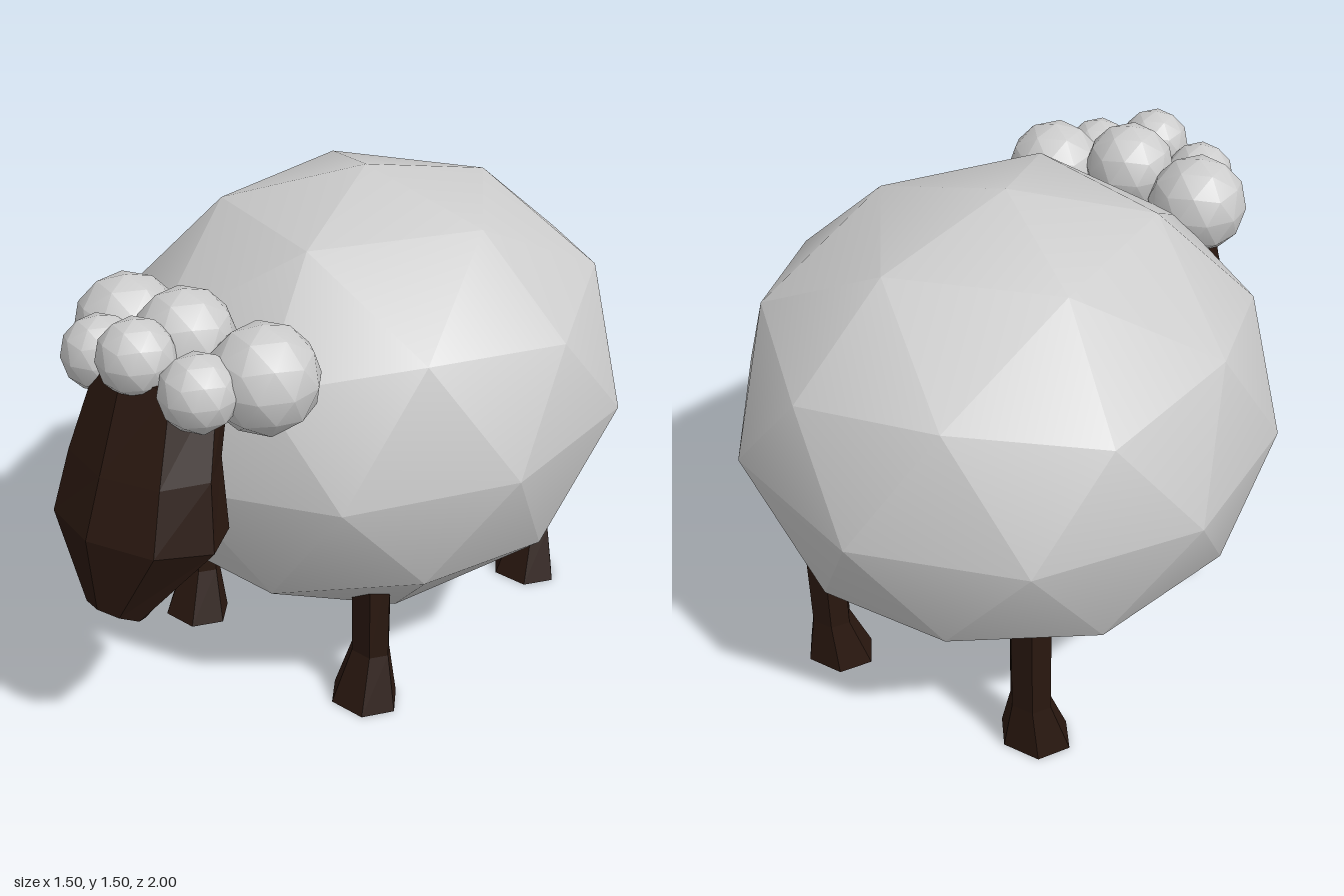
import * as THREE from 'three';
import { toCreasedNormals } from 'three/addons/utils/BufferGeometryUtils.js';

const wool = new THREE.MeshStandardMaterial({ color: 0xcccccc });
const skin = new THREE.MeshStandardMaterial({ color: 0x2a1810, flatShading: true });

// Low-poly sphere with a corner at its top and bottom
function icoSphere() {
  const g = new THREE.IcosahedronGeometry(1, 1);
  g.rotateZ(-Math.atan(2 / (1 + Math.sqrt(5))));
  return g;
}

// Skin over stacked elliptical rings, listed from the bottom up.
// Ring: [centre y, centre z, radius x, radius z, rise towards the front]
function loft(rings, sides) {
  const pos = [], index = [];
  for (const [y, z, rx, rz, rise = 0] of rings) {
    for (let i = 0; i < sides; i++) {
      const a = (i / sides) * Math.PI * 2;
      pos.push(rx * Math.cos(a), y + rise * Math.sin(a), z + rz * Math.sin(a));
    }
  }
  for (let r = 0; r < rings.length - 1; r++) {
    for (let i = 0; i < sides; i++) {
      const p = r * sides + i, q = r * sides + ((i + 1) % sides);
      index.push(p, p + sides, q, q, p + sides, q + sides);
    }
  }
  const top = (rings.length - 1) * sides;
  for (let i = 1; i < sides - 1; i++) {
    index.push(0, i, i + 1, top, top + i + 1, top + i);
  }
  const g = new THREE.BufferGeometry();
  g.setAttribute('position', new THREE.Float32BufferAttribute(pos, 3));
  g.setIndex(index);
  const flat = g.toNonIndexed();
  flat.computeVertexNormals();
  return flat;
}

export function createModel() {
  const model = new THREE.Group();
  const add = (name, geometry, material, x = 0, y = 0, z = 0) => {
    const mesh = new THREE.Mesh(geometry, material);
    mesh.name = name;
    mesh.position.set(x, y, z);
    model.add(mesh);
  };

  // Woolly body: a stretched sphere, slightly lopsided around its middle
  const body = icoSphere();
  const p = body.attributes.position;
  for (let i = 0; i < p.count; i++) {
    const x = p.getX(i), y = p.getY(i), z = p.getZ(i);
    const lift = 0.025 * (x - z) * (1 - y * y);
    p.setXYZ(i, x * 0.79, y * 0.683 + lift, z * 0.836);
  }
  add('body', toCreasedNormals(body, Math.PI / 6), wool, 0, 0.822, -0.164);

  // Head: tilted muzzle, wide cheeks, narrower crown
  add('head', loft([
    [0.53, 0.915, 0.09, 0.067, 0.036],
    [0.765, 0.8, 0.27, 0.2, 0.03],
    [0.96, 0.772, 0.242, 0.163],
    [1.2, 0.68, 0.19, 0.16],
  ], 8), skin);

  // Curls on the forehead: [name, x, y, z, radius]
  const curls = [
    ['middleBackCurl', 0, 1.235, 0.6, 0.14],
    ['middleFrontCurl', 0, 1.245, 0.778, 0.108],
    ['sideBackCurl', 0.25, 1.183, 0.57, 0.153],
    ['sideFrontCurl', 0.18, 1.187, 0.74, 0.108],
  ];
  for (const [name, x, y, z, r] of curls) {
    for (const side of x ? [1, -1] : [1]) {
      const g = toCreasedNormals(icoSphere().scale(r, r, r), Math.PI / 6);
      add(x ? (side > 0 ? 'left ' : 'right ') + name : name, g, wool, side * x, y, z);
    }
  }

  // Legs: flared hoof, straight shank running up into the wool
  for (const side of [1, -1]) {
    for (const [name, z] of [['frontLeg', 0.235], ['backLeg', -0.65]]) {
      const leg = loft([
        [0, 0.028, 0.115, 0.097],
        [0.17, 0, 0.067, 0.055],
        [0.5, 0, 0.067, 0.058],
      ], 6);
      add((side > 0 ? 'left ' : 'right ') + name, leg, skin, side * 0.352, 0, z);
    }
  }
  return model;
}
